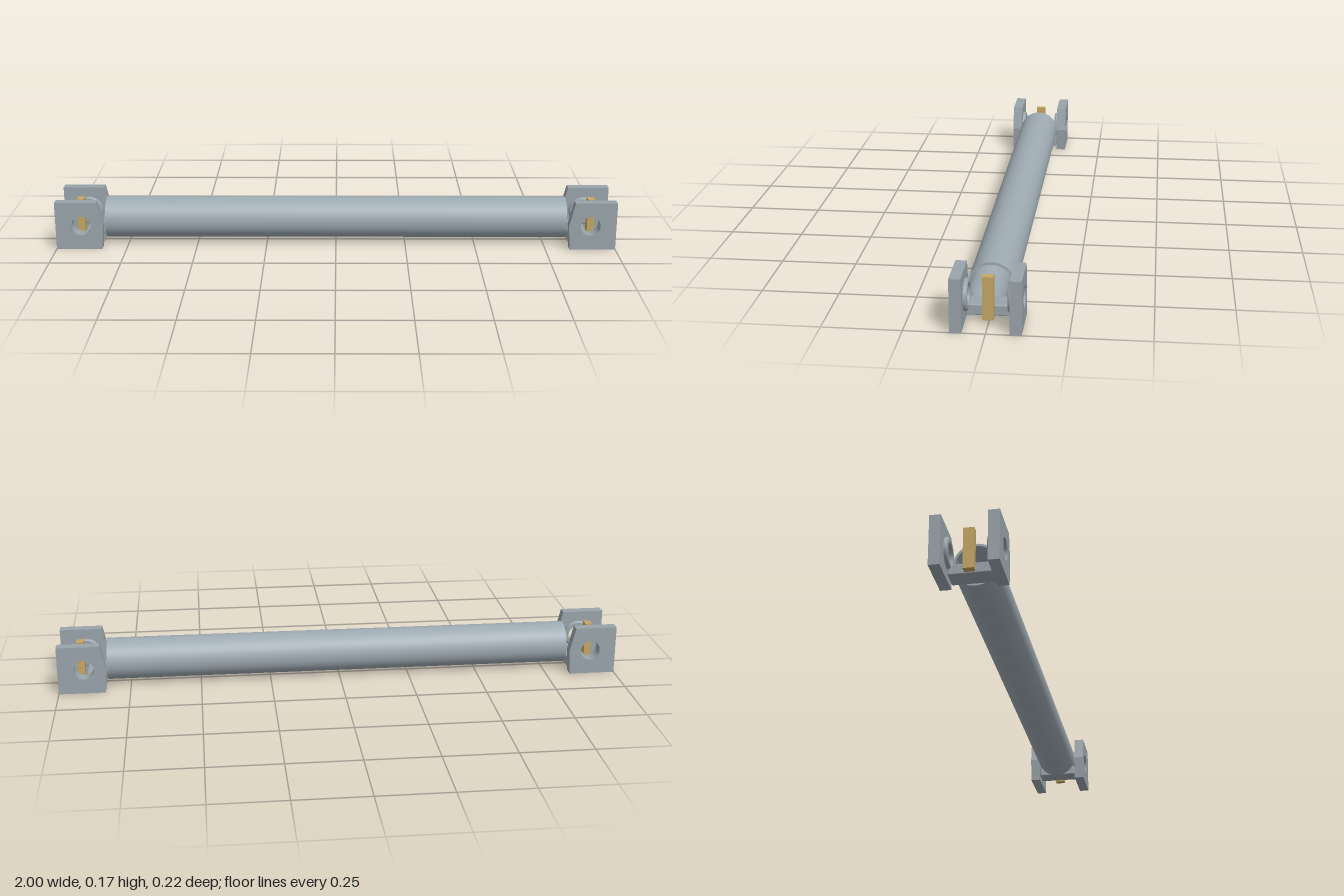
import * as THREE from 'three';
import { RoundedBoxGeometry } from 'three/addons/geometries/RoundedBoxGeometry.js';

const AXIS_Y = 0.087;   // height of the tube axis and the pin holes
const HOLE_X = 0.908;
const HOLE_R = 0.035;

export function createModel() {
  const tubeSteel = new THREE.MeshStandardMaterial({ name: 'tube steel', color: 0x9eaab2 });
  const lugSteel = new THREE.MeshStandardMaterial({ name: 'lug steel', color: 0x99a4ab });
  const brass = new THREE.MeshStandardMaterial({ name: 'brass', color: 0xc4a764 });

  const model = new THREE.Group();
  model.name = 'linkRod';
  const add = (parent, name, geometry, material, x = 0, y = 0, z = 0) => {
    const mesh = new THREE.Mesh(geometry, material);
    mesh.name = name;
    mesh.position.set(x, y, z);
    parent.add(mesh);
    return mesh;
  };

  // Hollow tube, open at both ends; each wall is its own surface so the rims stay sharp
  const L = 1.658, R = 0.074, r = 0.066;
  const tube = new THREE.Group();
  tube.name = 'tube';
  tube.position.y = AXIS_Y;
  tube.rotation.z = -Math.PI / 2;
  model.add(tube);
  const wall = (points) =>
    new THREE.LatheGeometry(points.map(([a, b]) => new THREE.Vector2(a, b)), 64);
  add(tube, 'tubeOuterWall', wall([[R, -L / 2], [R, L / 2]]), tubeSteel);
  add(tube, 'tubeInnerWall', wall([[r, L / 2], [r, -L / 2]]), tubeSteel);
  add(tube, 'tubeRimLeft', wall([[R, L / 2], [r, L / 2]]), tubeSteel);
  add(tube, 'tubeRimRight', wall([[r, -L / 2], [R, -L / 2]]), tubeSteel);

  // Lug plate outline, with a blunt point facing the tube and a pin hole
  const outline = new THREE.Shape([
    [0.837, 0], [1, 0], [1, 0.173], [0.851, 0.173], [0.831, 0.087],
  ].map(([x, y]) => new THREE.Vector2(x, y)));
  const hole = new THREE.Path();
  hole.absarc(HOLE_X, AXIS_Y, HOLE_R, 0, Math.PI * 2, true);
  outline.holes.push(hole);
  const plateGeo = new THREE.ExtrudeGeometry(outline, {
    depth: 0.036, bevelEnabled: false, curveSegments: 24,
  });

  // Washer-like boss with a rounded outer edge, lathe axis along the hole
  const bossGeo = wall([
    [0.051, 0], [0.051, 0.006], [0.0495, 0.0095], [0.046, 0.012],
    [0.046, 0.012], [HOLE_R, 0.012], [HOLE_R, 0.012], [HOLE_R, 0],
  ]);
  const barGeo = new RoundedBoxGeometry(0.07, 0.036, 0.144, 2, 0.004);
  const pinGeo = new THREE.BoxGeometry(0.025, 0.141, 0.035);

  // The same clevis at each end, turned about the vertical axis
  for (const [name, turn] of [['leftClevis', 0], ['rightClevis', Math.PI]]) {
    const clevis = new THREE.Group();
    clevis.name = name;
    clevis.rotation.y = turn;
    model.add(clevis);

    for (const side of [-1, 1]) {
      add(clevis, 'lugPlate', plateGeo, lugSteel, 0, 0, side > 0 ? 0.073 : -0.109);
      const boss = add(clevis, 'boss', bossGeo, lugSteel, HOLE_X, AXIS_Y, side * 0.073);
      boss.rotation.x = -side * Math.PI / 2;
    }
    add(clevis, 'crossBar', barGeo, lugSteel, 0.868, 0.034, 0);
    add(clevis, 'brassStrip', pinGeo, brass, 0.924, 0.0865, 0);
  }
  return model;
}
